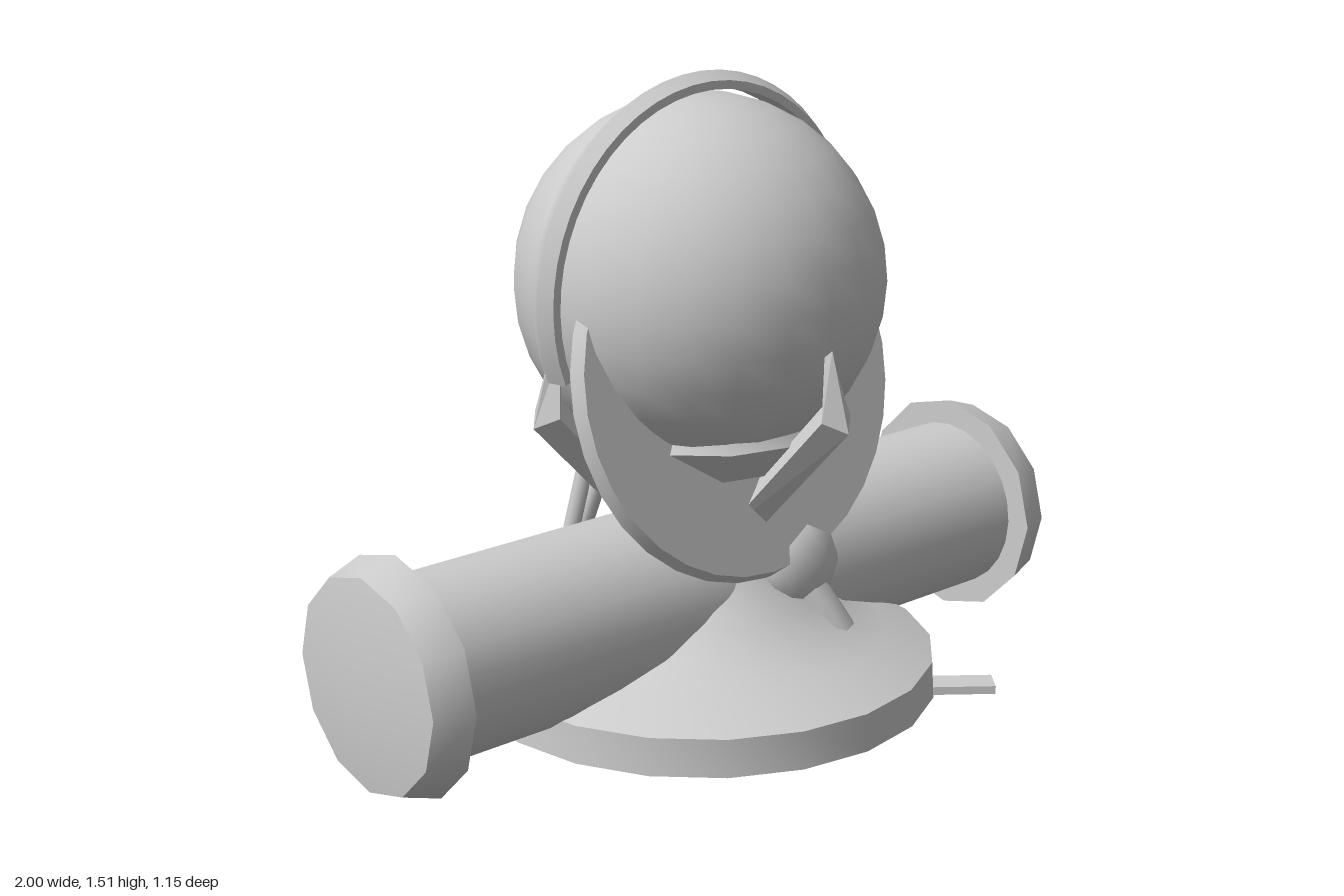
import * as THREE from 'three';
import { toCreasedNormals } from 'three/addons/utils/BufferGeometryUtils.js';

const grey = new THREE.MeshStandardMaterial({ color: 0xcccccc });
grey.name = 'plain grey';

function add(parent, name, geometry) {
  const mesh = new THREE.Mesh(geometry, grey);
  mesh.name = name;
  parent.add(mesh);
  return mesh;
}

// Revolved profile, listed from bottom to top as [radius, height]
function lathe(points, segments, crease = 0.6, start = 0, length = Math.PI * 2) {
  const profile = points.map(([r, y]) => new THREE.Vector2(r, y));
  return toCreasedNormals(new THREE.LatheGeometry(profile, segments, start, length), crease);
}

// Straight rod between two points
function rod(parent, name, from, to, radius) {
  const a = new THREE.Vector3(...from), b = new THREE.Vector3(...to);
  const mesh = add(parent, name, toCreasedNormals(new THREE.CylinderGeometry(radius, radius, a.distanceTo(b), 8), 0.9));
  mesh.position.copy(a).add(b).multiplyScalar(0.5);
  mesh.quaternion.setFromUnitVectors(new THREE.Vector3(0, 1, 0), b.sub(a).normalize());
}

// Ridged bent claw, lofted through diamond sections: outer point, inner point, half width
function clawGeometry() {
  const sections = [
    [[0.14, 0.40], [0.10, 0.48], 0.045],
    [[0.495, 0.77], [0.415, 0.82], 0.045],
    [[0.44, 0.95], [0.415, 0.92], 0.012],
  ].map(([o, i, w]) => {
    const mx = (o[0] + i[0]) / 2, my = (o[1] + i[1]) / 2;
    return [[o[0], o[1], 0], [mx, my, -w], [i[0], i[1], 0], [mx, my, w]];
  });
  const positions = [];
  const quad = (a, b, c, d) => positions.push(...a, ...b, ...c, ...a, ...c, ...d);
  for (let s = 0; s < sections.length - 1; s++) {
    for (let j = 0; j < 4; j++) {
      const k = (j + 1) % 4;
      quad(sections[s][j], sections[s][k], sections[s + 1][k], sections[s + 1][j]);
    }
  }
  quad(...[...sections[0]].reverse());
  quad(...sections[sections.length - 1]);
  const geometry = new THREE.BufferGeometry();
  geometry.setAttribute('position', new THREE.Float32BufferAttribute(positions, 3));
  geometry.computeVertexNormals();
  return geometry;
}

export function createModel() {
  const model = new THREE.Group();
  model.name = 'globeOnStand';

  // Round base sweeping up into a pedestal
  const base = add(model, 'base', lathe([
    [0, 0.035], [0.565, 0.035], [0.56, 0.125], [0.44, 0.18], [0.345, 0.22],
    [0.29, 0.27], [0.225, 0.325], [0.17, 0.40], [0, 0.45],
  ], 20));
  base.position.z = 0.01;

  // Horizontal barrel with flared end caps
  const barrel = add(model, 'barrel', toCreasedNormals(new THREE.CylinderGeometry(0.215, 0.215, 1.84, 24), 0.6));
  barrel.rotation.z = Math.PI / 2;
  barrel.position.y = 0.285;
  for (const side of [-1, 1]) {
    const cap = add(model, side > 0 ? 'leftEndCap' : 'rightEndCap',
      lathe([[0, 0.875], [0.28, 0.875], [0.25, 0.965], [0, 1.0]], 12, 0.5));
    cap.rotation.z = -side * Math.PI / 2;
    cap.position.y = 0.285;
  }

  // Globe and the partial hoop over it
  const globe = add(model, 'globe', new THREE.SphereGeometry(0.435, 24, 16));
  globe.position.y = 1.035;
  const hoop = add(model, 'hoop', lathe([
    [0.445, -0.035], [0.465, -0.035], [0.485, 0], [0.465, 0.035], [0.445, 0.035], [0.445, -0.035],
  ], 32, 0.5, 1.2, Math.PI * 2 - 2.4));
  hoop.rotation.x = Math.PI / 2;
  hoop.position.set(0, 1.035, 0.005);

  // Four claws holding the globe
  const claw = clawGeometry();
  ['leftClaw', 'backClaw', 'rightClaw', 'frontClaw'].forEach((name, i) => {
    add(model, name, claw).rotation.y = i * Math.PI / 2;
  });

  // Collar under the globe
  const collar = add(model, 'collar', lathe([[0, 0.6], [0.22, 0.61], [0.305, 0.7], [0.29, 0.725], [0, 0.725]], 12));
  collar.position.z = 0.015;

  // Leaning disc cutting through the globe
  const disc = add(model, 'leaningDisc', lathe([
    [0, -0.035], [0.45, -0.035], [0.475, 0], [0.46, 0.03], [0, 0.03],
  ], 32, 0.5));
  disc.rotation.x = 1.325;
  disc.position.set(0, 0.82, 0.12);

  // Rear brace and side rods reaching the floor
  rod(model, 'rearBrace', [0, 0.62, -0.30], [0, 0.04, -0.56], 0.019);
  for (const side of [-1, 1]) {
    rod(model, 'sideRod', [side * 0.26, 0.67, -0.09], [side * 0.37, 0.03, -0.18], 0.02);
  }

  // Knob and its stem in front of the barrel
  const knob = add(model, 'knob', new THREE.SphereGeometry(0.12, 8, 8));
  knob.rotation.x = Math.PI / 2;
  knob.scale.y = 0.7;
  knob.position.set(0.125, 0.36, 0.2);
  rod(model, 'knobStem', [0.12, 0.34, 0.21], [0.18, 0.19, 0.29], 0.05);

  // Flat foot lever under the base edge
  const lever = add(model, 'footLever', new THREE.BoxGeometry(0.24, 0.02, 0.07));
  lever.position.set(0.41, 0.033, 0.43);
  lever.rotation.y = -Math.PI / 4.6;

  return model;
}
